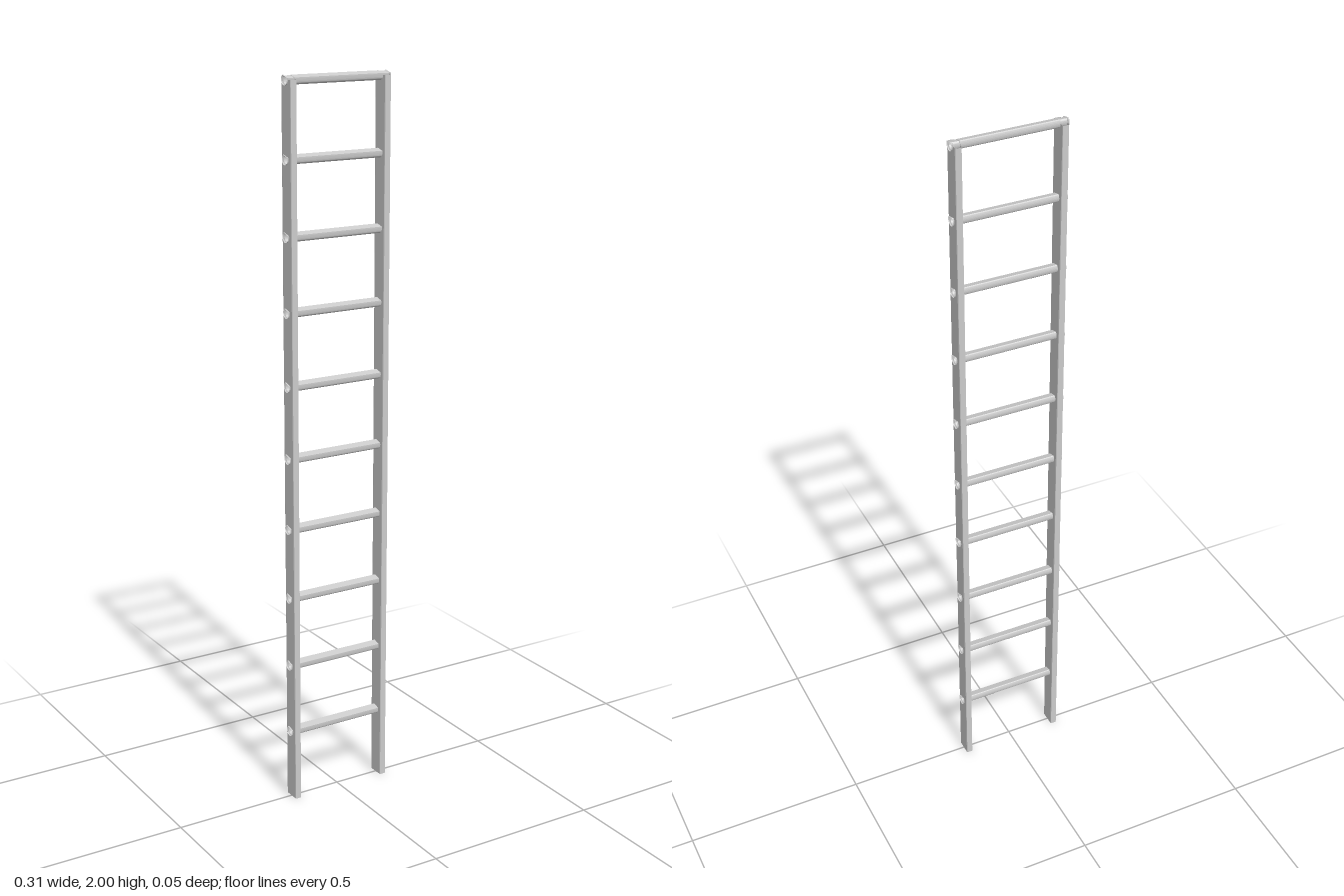
import * as THREE from 'three';
import { toCreasedNormals } from 'three/addons/utils/BufferGeometryUtils.js';

const RAIL_X = 0.141, RAIL_HALF_W = 0.009, RAIL_HALF_D = 0.0245, CHAMFER = 0.003;
const RAIL_TOP = 1.9895, FIRST_RUNG = 0.2015, RUNGS = 10;
const STEP = (RAIL_TOP - FIRST_RUNG) / (RUNGS - 1);

const material = new THREE.MeshStandardMaterial({ color: 0xcccccc, side: THREE.DoubleSide });

// Rung section as [z, y]: a circle cut by a tread that rises toward the back
function rungProfile(scale) {
  const points = [], radius = 0.0135, cut = 0.008, tilt = THREE.MathUtils.degToRad(75);
  const half = Math.acos(cut / radius), arcSteps = 18;
  for (let i = 0; i <= arcSteps; i++) {
    const a = tilt + half + (i / arcSteps) * (2 * Math.PI - 2 * half);
    points.push([Math.cos(a) * radius * scale, Math.sin(a) * radius * scale]);
  }
  return points;
}

// Skin a row of equal-length sections; closed joins the last point to the first
function loft(sections, closed) {
  const n = sections[0].length, index = [];
  for (let s = 0; s < sections.length - 1; s++) {
    for (let i = 0; i < (closed ? n : n - 1); i++) {
      const a = s * n + i, b = s * n + (i + 1) % n;
      index.push(a, b, a + n, b, b + n, a + n);
    }
  }
  const geometry = new THREE.BufferGeometry();
  geometry.setAttribute('position', new THREE.Float32BufferAttribute(sections.flat(2), 3));
  geometry.setIndex(index);
  return toCreasedNormals(geometry, Math.PI / 6);
}

// Flat rail wall with an opening for every rung and a notch for the top one
function railWall(facing) {
  const w = RAIL_HALF_D - CHAMFER;
  const hole = rungProfile(0.9).map(([z, y]) => new THREE.Vector2(-facing * z, y));
  const notch = hole.filter(p => p.y < 0).sort((a, b) => b.x - a.x);
  const shape = new THREE.Shape([
    new THREE.Vector2(-w, 0), new THREE.Vector2(w, 0), new THREE.Vector2(w, RAIL_TOP),
    ...[new THREE.Vector2(0.012, 0), ...notch, new THREE.Vector2(-0.012, 0)]
      .map(p => new THREE.Vector2(p.x, p.y + RAIL_TOP)),
    new THREE.Vector2(-w, RAIL_TOP),
  ]);
  for (let i = 0; i < RUNGS - 1; i++) {
    const y = FIRST_RUNG + i * STEP;
    shape.holes.push(new THREE.Path(hole.map(p => new THREE.Vector2(p.x, p.y + y))));
  }
  return new THREE.ShapeGeometry(shape).rotateY(facing * Math.PI / 2)
    .translate(facing * RAIL_HALF_W, 0, 0);
}

// Front or back wall of the rail with its two chamfered corners
function railEdge(facing) {
  const w = RAIL_HALF_W, d = RAIL_HALF_D, c = CHAMFER;
  const path = [[-w, d - c], [-w + c * 0.3, d - c * 0.3], [-w + c, d],
    [w - c, d], [w - c * 0.3, d - c * 0.3], [w, d - c]];
  return loft([0, RAIL_TOP].map(y => path.map(([x, z]) => [x * facing, y, z * facing])), false);
}

export function createModel() {
  const model = new THREE.Group();
  model.name = 'ladder';
  const add = (parent, geometry, name) => {
    const mesh = new THREE.Mesh(geometry, material);
    mesh.name = name;
    parent.add(mesh);
    return mesh;
  };

  // Hollow open-ended side rails
  for (const side of [1, -1]) {
    const rail = new THREE.Group();
    rail.name = side > 0 ? 'leftRail' : 'rightRail';
    rail.position.x = side * RAIL_X;
    for (const facing of [1, -1]) {
      add(rail, railWall(facing), facing === side ? 'outerWall' : 'innerWall');
      add(rail, railEdge(facing), facing > 0 ? 'frontWall' : 'backWall');
    }
    model.add(rail);
  }

  // Hollow rungs: full width between the rails, narrow inside them, flared ends
  const halfStations = [[0.155, 1.08], [0.152, 1.08], [0.15, 0.9], [0.132, 0.9], [0.1315, 1]];
  const stations = [...halfStations.map(([x, s]) => [-x, s]), ...halfStations.slice().reverse()];
  const rungGeometry = loft(
    stations.map(([x, s]) => rungProfile(s).map(([z, y]) => [x, y, z])), true);
  for (let i = 0; i < RUNGS; i++) {
    add(model, rungGeometry, `rung${i + 1}`).position.y = FIRST_RUNG + i * STEP;
  }
  return model;
}
